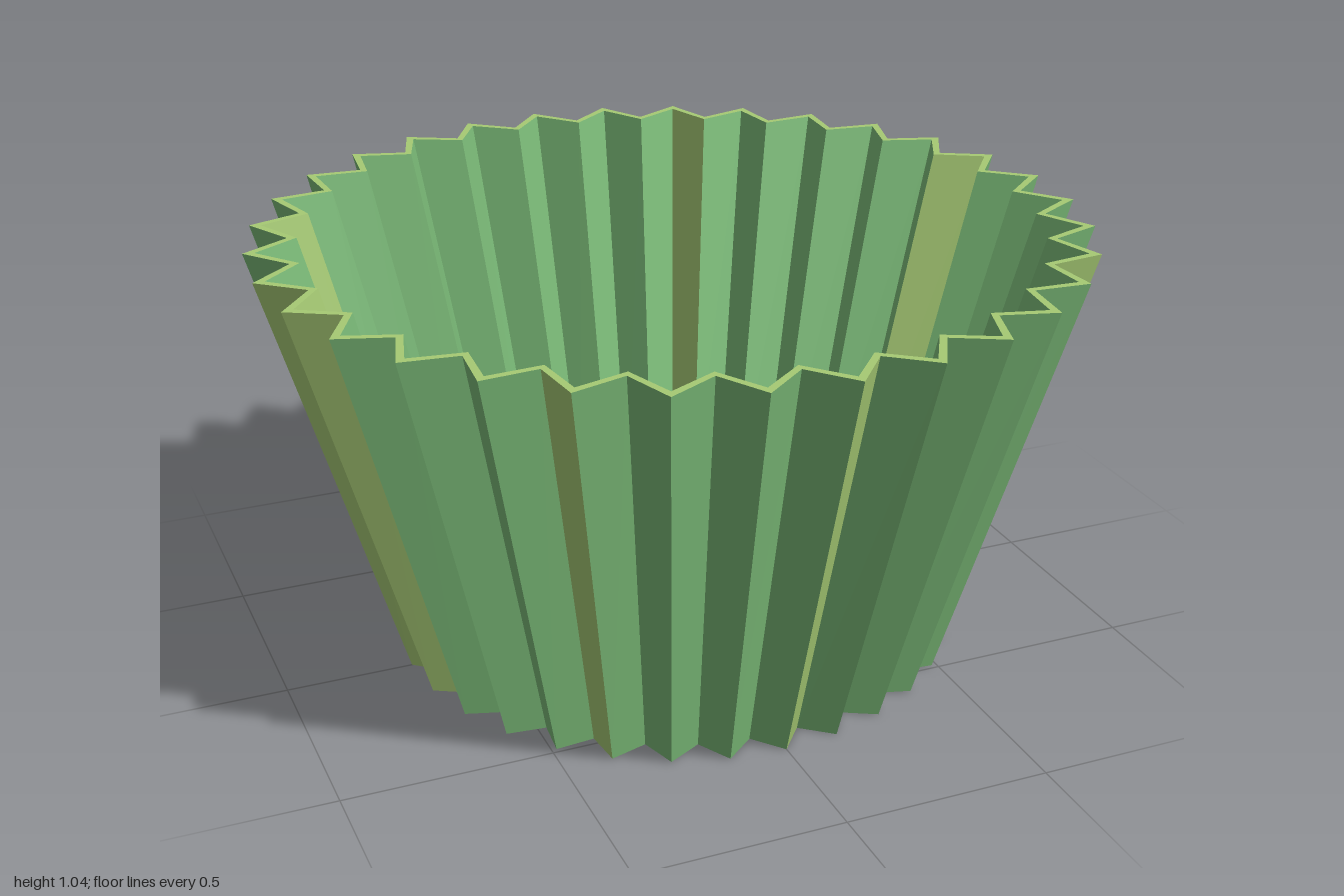
import * as THREE from 'three';

const PLEATS = 32;
const HEIGHT = 1.045;
const FLOOR = 0.02;

// Zigzag ring: ridges at even corners, valleys at odd ones, starting at the front
function ring(ridge, valley, y) {
  return Array.from({ length: PLEATS * 2 }, (_, i) => {
    const a = (i * Math.PI) / PLEATS;
    const r = i % 2 ? valley : ridge;
    return [r * Math.sin(a), y, r * Math.cos(a)];
  });
}

// Flat-faced band between two rings; listed faces use the second material
function band(name, lower, upper, materials, accents = []) {
  const positions = [];
  const geometry = new THREE.BufferGeometry();
  lower.forEach((a, i) => {
    const j = (i + 1) % lower.length;
    positions.push(...a, ...lower[j], ...upper[j], ...a, ...upper[j], ...upper[i]);
    geometry.addGroup(i * 6, 6, accents.includes(i) ? 1 : 0);
  });
  geometry.setAttribute('position', new THREE.Float32BufferAttribute(positions, 3));
  geometry.computeVertexNormals();
  const mesh = new THREE.Mesh(geometry, materials);
  mesh.name = name;
  return mesh;
}

export function createModel() {
  const green = new THREE.MeshStandardMaterial({ name: 'leaf green', color: 0x7bbb78 });
  const lime = new THREE.MeshStandardMaterial({ name: 'lime green', color: 0xa6ca74 });

  const outerBase = ring(0.69, 0.62, 0);
  const outerTop = ring(1, 0.9, HEIGHT);
  const innerTop = ring(0.972, 0.878, HEIGHT);
  const innerBase = ring(0.663, 0.6, FLOOR);

  // Faces that break the plain green of each wall
  const outerAccents = [0, 4, 9, 16, 21, 22, 30, 31, 34, 37, 45, 48, 49, 50, 57];
  const innerAccents = [13, 18, 27, 43, 49, 52, 57, 59];

  const group = new THREE.Group();
  group.name = 'pleatedCup';
  group.add(
    band('outerWall', outerBase, outerTop, [green, lime], outerAccents),
    band('innerWall', innerTop, innerBase, [green, lime], innerAccents),
    band('rim', outerTop, innerTop, [lime]),
    band('floor', innerBase, ring(0, 0, FLOOR), [lime]),
    band('underside', ring(0, 0, 0), outerBase, [lime]),
  );
  return group;
}
